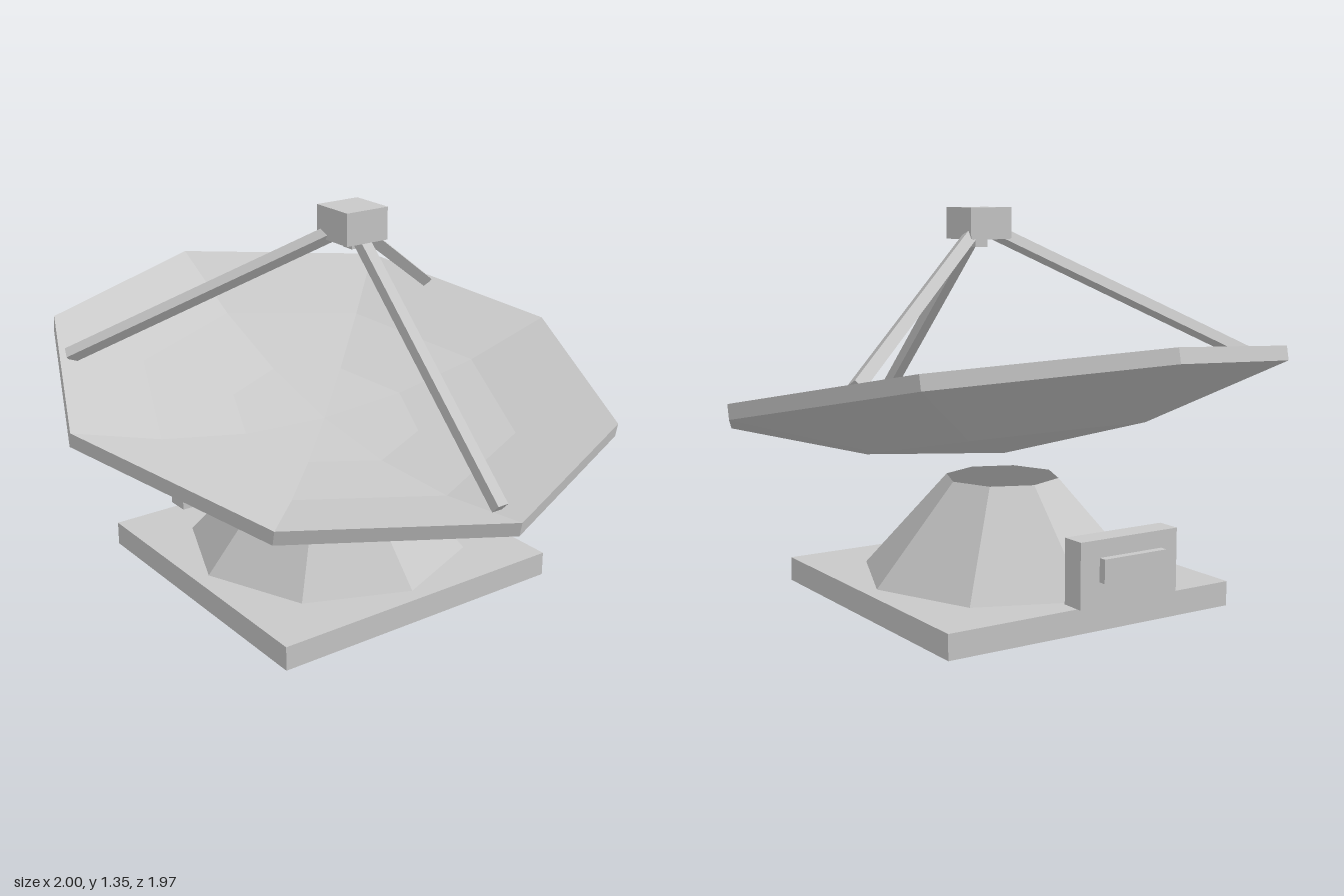
import * as THREE from 'three';

export function createModel() {
  const model = new THREE.Group();
  model.name = 'satelliteDish';

  const grey = new THREE.MeshStandardMaterial({ color: 0xc8c8c8, flatShading: true, side: THREE.DoubleSide });
  grey.name = 'light grey';

  const add = (name, geometry, x = 0, y = 0, z = 0) => {
    const mesh = new THREE.Mesh(geometry, grey);
    mesh.name = name;
    mesh.position.set(x, y, z);
    model.add(mesh);
    return mesh;
  };
  const box = (name, w, h, d, x, y, z) => add(name, new THREE.BoxGeometry(w, h, d), x, y, z);

  // Base plate and hollow, open-topped pedestal
  box('basePlate', 1.11, 0.085, 1.11, 0, 0.0425, -0.03);
  add('pedestal', new THREE.CylinderGeometry(0.2, 0.5, 0.335, 8, 1, true), 0, 0.2525, -0.03);

  // Control box at the back
  box('controlBox', 0.39, 0.22, 0.085, -0.11, 0.2, -0.5725);
  box('controlPanel', 0.25, 0.08, 0.03, -0.115, 0.211, -0.627);

  // Eight-sided parabolic bowl: underside in two rings, inside in three
  const tilt = THREE.MathUtils.degToRad(12);
  const bowlDepth = 0.2, thickness = 0.05;
  const depthAt = r => -bowlDepth * (1 - r * r);
  const profile = [
    ...[0, 0.5, 1].map(r => new THREE.Vector2(r, depthAt(r) - thickness)),
    ...[1, 2 / 3, 1 / 3, 0].map(r => new THREE.Vector2(r, depthAt(r))),
  ];
  const dish = add('dish', new THREE.LatheGeometry(profile, 8), 0, 0.748, 0.005);
  dish.rotation.x = tilt;
  dish.updateMatrix();

  // Receiver held over the bowl
  box('receiver', 0.165, 0.11, 0.165, 0, 1.295, 0.12);
  box('receiverHorn', 0.05, 0.04, 0.05, 0, 1.232, 0.127);

  // Three struts from near the rim to the receiver
  const top = new THREE.Vector3(0, 1.29, 0.12);
  for (let i = 0; i < 3; i++) {
    const a = (i * Math.PI * 2) / 3;
    const foot = new THREE.Vector3(0.9 * Math.sin(a), -0.01, 0.9 * Math.cos(a)).applyMatrix4(dish.matrix);
    const dir = top.clone().sub(foot);
    const strut = box('strut' + (i + 1), 0.04, dir.length(), 0.04, 0, 0, 0);
    strut.position.copy(foot).add(top).multiplyScalar(0.5);
    strut.quaternion.setFromUnitVectors(new THREE.Vector3(0, 1, 0), dir.normalize());
  }

  return model;
}
